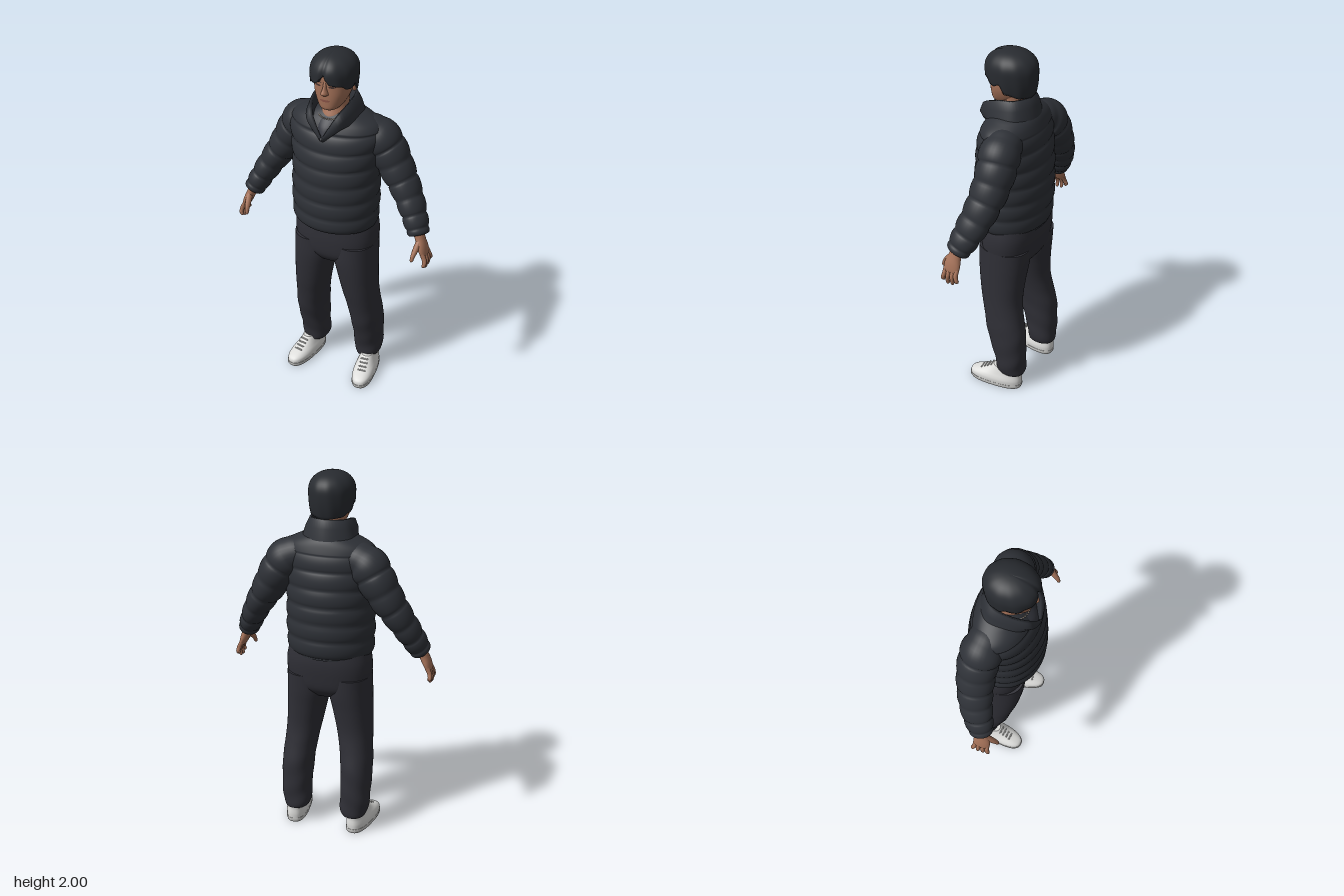
import * as THREE from 'three';

const V = (x, y, z) => new THREE.Vector3(x, y, z);
const mat = (name, color, side = THREE.FrontSide) => {
  const m = new THREE.MeshStandardMaterial({ color, side });
  m.name = name;
  return m;
};

// Catmull-Rom sampling of rows of numbers, t from 0 to 1
function sample(keys, t) {
  const f = Math.min(t, 0.99999) * (keys.length - 1), i = Math.floor(f), u = f - i;
  const k = (n) => keys[Math.max(0, Math.min(keys.length - 1, n))];
  return keys[0].map((_, c) => {
    const [a, b, d, e] = [k(i - 1)[c], k(i)[c], k(i + 1)[c], k(i + 2)[c]];
    return b + 0.5 * u * (d - a + u * (2 * a - 5 * b + 4 * d - e + u * (3 * (b - d) + e - a)));
  });
}

// Skin over rings of points; closed rings may get end caps with sharp rims
function skin(rings, { closed = true, caps = true } = {}) {
  const n = rings[0].length, pts = rings.flat(), idx = [];
  const cols = closed ? n : n - 1;
  for (let i = 0; i < rings.length - 1; i++) {
    for (let j = 0; j < cols; j++) {
      const a = i * n + j, b = i * n + (j + 1) % n;
      idx.push(a, a + n, b, b, a + n, b + n);
    }
  }
  if (closed && caps) {
    [rings[0], rings[rings.length - 1]].forEach((ring, end) => {
      const base = pts.length;
      const mid = ring.reduce((s, p) => s.add(p), V(0, 0, 0)).divideScalar(n);
      pts.push(...ring, mid);
      for (let j = 0; j < n; j++) {
        const a = base + j, b = base + (j + 1) % n;
        end ? idx.push(base + n, b, a) : idx.push(base + n, a, b);
      }
    });
  }
  const g = new THREE.BufferGeometry().setFromPoints(pts);
  g.setIndex(idx);
  g.computeVertexNormals();
  return g;
}

const pow = (v, e) => Math.sign(v) * Math.abs(v) ** e;

// Upright loft; rows are [y, centreX, halfWidth, zFront, zBack]
function upright(keys, steps, { n = 2, seg = 40, puff = () => 0 } = {}) {
  const rings = [];
  for (let i = 0; i <= steps; i++) {
    const [y, cx, rx, zf, zb] = sample(keys, i / steps);
    rings.push(Array.from({ length: seg }, (_, j) => {
      const a = (j / seg) * Math.PI * 2, p = puff(y, a);
      return V(cx + (rx + p) * pow(Math.cos(a), 2 / n), y,
        (zf + zb) / 2 + ((zf - zb) / 2 + p) * pow(Math.sin(a), 2 / n));
    }));
  }
  return skin(rings);
}

// Loft along a path; rows are [x, y, z, radius across, radius towards z]
function limb(keys, steps, seg = 24, puff = () => 0) {
  const at = (t) => V(...sample(keys, Math.max(0, Math.min(1, t))).slice(0, 3));
  const rings = [];
  for (let i = 0; i <= steps; i++) {
    const t = i / steps, [x, y, z, ru, rv] = sample(keys, t);
    const dir = at(t + 0.01).sub(at(t - 0.01)).normalize();
    const v = V(0, 0, 1).addScaledVector(dir, -dir.z).normalize();
    const u = dir.clone().cross(v), p = puff(t);
    rings.push(Array.from({ length: seg }, (_, j) => {
      const a = (j / seg) * Math.PI * 2;
      return V(x, y, z).addScaledVector(u, (ru + p) * Math.cos(a)).addScaledVector(v, (rv + p) * Math.sin(a));
    }));
  }
  return skin(rings);
}

function mirrored(g) {
  const m = g.clone().scale(-1, 1, 1), ix = m.index.array;
  for (let i = 0; i < ix.length; i += 3) [ix[i], ix[i + 1]] = [ix[i + 1], ix[i]];
  m.computeVertexNormals();
  return m;
}

const HEAD = [[1.713, 0, 0.03, 0.105, 0.03], [1.725, 0, 0.05, 0.119, 0], [1.755, 0, 0.071, 0.123, -0.04],
  [1.80, 0, 0.089, 0.125, -0.07], [1.85, 0, 0.096, 0.125, -0.09], [1.90, 0, 0.097, 0.125, -0.09],
  [1.945, 0, 0.08, 0.1, -0.07], [1.965, 0, 0.045, 0.06, -0.03]];

// Thin lens-shaped patch that follows the face
function facePatch(cx, cy, w, h, bend = 0) {
  const point = (x, y) => {
    let i = HEAD.findIndex((k) => k[0] > y);
    const A = HEAD[i - 1], B = HEAD[i], u = (y - A[0]) / (B[0] - A[0]);
    const [, , rx, zf, zb] = A.map((v, c) => v + (B[c] - v) * u);
    return V(x, y, (zf + zb) / 2 + (zf - zb) / 2 * (1 - Math.abs(x / rx) ** 2.3) ** (1 / 2.3) + 0.003);
  };
  const rows = [-1, 0, 1].map((r) => Array.from({ length: 9 }, (_, j) => {
    const t = j / 4 - 1;
    return point(cx + t * w, cy + bend * t * t + r * h * Math.sqrt(1.05 - t * t));
  }));
  return skin(rows, { closed: false });
}

// Hair cap with a centre parting, curtains, sideburns and a low nape
function hairGeometry() {
  const line = [[0, 1.915], [0.12, 1.895], [0.35, 1.868], [0.8, 1.86], [1.05, 1.838], [1.3, 1.835],
    [1.5, 1.85], [1.75, 1.805], [2.4, 1.783], [3.15, 1.775]];
  const low = (th) => {
    const i = Math.max(1, line.findIndex((k) => k[0] > th));
    const [a, b] = [line[i - 1], line[i]];
    return THREE.MathUtils.lerp(a[1], b[1], THREE.MathUtils.smoothstep(th, a[0], b[0]));
  };
  const seg = 96, steps = 24, rings = [];
  for (let k = steps + 2; k >= 0; k--) {
    const s = Math.max(0.02, Math.min(1, k / steps));
    rings.push(Array.from({ length: seg }, (_, j) => {
      const a = (j / seg) * Math.PI * 2;
      const th = Math.abs(Math.atan2(Math.cos(a), Math.sin(a)));
      const part = Math.exp(-((th / 0.13) ** 2));
      const y = 2.0 - (2.0 - low(th)) * (1 - Math.cos(s * Math.PI / 2));
      const d = y > 1.9 ? (y - 1.9) / 0.1 : (1.9 - y) / 0.24;
      let r = (1 - Math.min(1, d) ** 2.2) ** (1 / 2.2);
      r *= 1 - 0.1 * part * s + 0.012 * Math.sin(11 * a + 4 * s) * s;
      if (k > steps) r *= 1 - 0.11 * (k - steps);
      const rz = Math.sin(a) > 0 ? 0.143 : 0.136;
      return V(0.119 * r * Math.cos(a), y - 0.012 * part * s * (1 - s), 0.014 + rz * r * Math.sin(a));
    }));
  }
  return skin(rings);
}

// Stand-up collar, open at the front and falling into a V
function collarGeometry() {
  const around = (half) => {
    const other = half.slice(0, -1).reverse().map(([x, y, z]) => [-x, y, z]);
    const all = [...half, ...other];
    return Array.from({ length: 61 }, (_, i) => V(...sample(all, i / 60)));
  };
  return skin([
    around([[0.004, 1.555, 0.155], [0.085, 1.63, 0.135], [0.142, 1.655, 0.03], [0.125, 1.665, -0.08], [0, 1.67, -0.135]]),
    around([[0.004, 1.57, 0.172], [0.092, 1.67, 0.15], [0.125, 1.71, 0.04], [0.11, 1.725, -0.07], [0, 1.73, -0.122]]),
    around([[0.004, 1.585, 0.17], [0.078, 1.705, 0.142], [0.108, 1.755, 0.05], [0.093, 1.77, -0.055], [0, 1.775, -0.105]]),
    around([[0.003, 1.587, 0.162], [0.066, 1.705, 0.132], [0.094, 1.755, 0.045], [0.08, 1.768, -0.045], [0, 1.772, -0.09]]),
    around([[0.002, 1.575, 0.15], [0.07, 1.64, 0.11], [0.09, 1.68, 0.04], [0.075, 1.69, -0.04], [0, 1.69, -0.08]]),
  ], { closed: false });
}

export function createModel() {
  const model = new THREE.Group();
  model.name = 'standingMan';
  const jacket = mat('jacketCharcoal', 0x2e3137, THREE.DoubleSide), trousers = mat('trouserCharcoal', 0x2f2f36);
  const hair = mat('hairBlack', 0x282b30, THREE.DoubleSide), skinTone = mat('skin', 0xa57259);
  const shirt = mat('shirtGrey', 0x34363e), white = mat('shoeWhite', 0xdcdcda), sole = mat('soleGrey', 0xc4c4c2);
  const lips = mat('lips', 0x8c5548, THREE.DoubleSide), dark = mat('browDark', 0x4a3530, THREE.DoubleSide);
  const bead = mat('beads', 0xc9b8a4);
  const add = (name, g, m, parent = model) => {
    const mesh = new THREE.Mesh(g, m);
    mesh.name = name;
    parent.add(mesh);
    return mesh;
  };
  const pair = (name, g, m) => {
    add(name + 'Left', g, m);
    add(name + 'Right', mirrored(g), m);
  };

  // Quilted jacket
  const quilt = (y, a) => y > 1.6 ? 0 : 0.012 * Math.sqrt(Math.abs(Math.sin(Math.PI * (y - 1.035 + 0.01 * Math.sin(a)) / 0.094))) - 0.01;
  add('jacketBody', upright([[1.035, 0, 0.226, 0.185, -0.18], [1.07, 0, 0.235, 0.197, -0.19], [1.2, 0, 0.24, 0.2, -0.198],
    [1.35, 0, 0.238, 0.193, -0.197], [1.47, 0, 0.245, 0.178, -0.185], [1.57, 0, 0.255, 0.153, -0.168],
    [1.63, 0, 0.235, 0.125, -0.15], [1.67, 0, 0.165, 0.095, -0.13], [1.695, 0, 0.1, 0.07, -0.1]],
    96, { seg: 64, puff: quilt }), jacket);
  add('collar', collarGeometry(), jacket);
  pair('sleeve', limb([[0.10, 1.585, -0.03, 0.07, 0.08], [0.205, 1.55, -0.05, 0.102, 0.103], [0.265, 1.475, -0.06, 0.098, 0.102],
    [0.325, 1.375, -0.055, 0.086, 0.096], [0.385, 1.28, -0.038, 0.073, 0.088], [0.437, 1.19, -0.01, 0.064, 0.08],
    [0.475, 1.115, 0.018, 0.057, 0.068], [0.492, 1.078, 0.032, 0.05, 0.056]],
    84, 32, (t) => 0.01 * Math.sqrt(Math.abs(Math.sin(t * Math.PI * 8))) - 0.006), jacket);
  add('shirt', upright([[1.575, 0, 0.05, 0.157, -0.04], [1.62, 0, 0.078, 0.14, -0.05], [1.655, 0, 0.082, 0.113, -0.06],
    [1.67, 0, 0.078, 0.095, -0.06]], 12), shirt);

  // Trousers
  add('trouserHips', upright([[0.8, 0, 0.13, 0.1, -0.11], [0.85, 0, 0.215, 0.128, -0.15], [0.93, 0, 0.232, 0.136, -0.165],
    [1.0, 0, 0.232, 0.134, -0.17], [1.06, 0, 0.22, 0.13, -0.165]], 20, { n: 2.4 }), trousers);
  pair('trouserLeg', upright([[0.1, 0.168, 0.066, -0.01, -0.16], [0.13, 0.168, 0.077, -0.003, -0.166],
    [0.22, 0.172, 0.081, 0.013, -0.168], [0.38, 0.17, 0.085, 0.06, -0.164], [0.5, 0.158, 0.089, 0.083, -0.14],
    [0.6, 0.145, 0.096, 0.104, -0.128], [0.72, 0.13, 0.107, 0.122, -0.136], [0.82, 0.118, 0.116, 0.131, -0.148],
    [0.92, 0.118, 0.113, 0.13, -0.155]], 48,
    { n: 2.2, puff: (y, a) => 0.003 * Math.sin(46 * y + 2 * a) * Math.max(0, 1 - y / 0.55) }), trousers);

  // Shoes: sole, upper and laces, toes turned out
  const place = (g) => g.rotateY(0.15).translate(0.193, 0, 0);
  pair('sole', place(upright([[0, 0, 0.058, 0.156, -0.15], [0.012, 0, 0.062, 0.162, -0.154],
    [0.024, 0, 0.061, 0.162, -0.153]], 6, { n: 2.6 })), sole);
  pair('shoe', place(upright([[0.022, 0, 0.06, 0.16, -0.152], [0.045, 0, 0.061, 0.156, -0.153], [0.062, 0, 0.057, 0.13, -0.152],
    [0.08, 0, 0.05, 0.083, -0.15], [0.1, 0, 0.044, 0.045, -0.15], [0.125, 0, 0.038, 0.015, -0.145]],
    18, { n: 2.5 })), white);
  for (let i = 0; i < 4; i++) {
    const lace = new THREE.CapsuleGeometry(0.004, 0.04, 3, 8).rotateZ(Math.PI / 2);
    pair('lace' + i, place(lace.translate(0, 0.078 + i * 0.012, 0.088 - i * 0.02)), sole);
  }

  // Hands
  pair('palm', limb([[0.488, 1.095, 0.03, 0.028, 0.034], [0.503, 1.06, 0.036, 0.025, 0.035], [0.52, 1.02, 0.042, 0.023, 0.045],
    [0.534, 0.985, 0.042, 0.017, 0.044], [0.538, 0.972, 0.042, 0.009, 0.036]], 14, 20), skinTone);
  [[0.076, 0.083, 0.918], [0.053, 0.056, 0.905], [0.03, 0.028, 0.908], [0.009, 0, 0.928]].forEach(([z0, z1, tip], i) =>
    pair('finger' + i, limb([[0.53, 0.995, z0, 0.012, 0.0115], [0.545, 0.965, z0, 0.0125, 0.012],
      [0.55, 0.94, z1, 0.011, 0.0105], [0.545, tip + 0.008, z1, 0.01, 0.009], [0.543, tip, z1, 0.004, 0.004]], 14, 12), skinTone));
  pair('thumb', limb([[0.505, 1.055, 0.055, 0.016, 0.018], [0.5, 1.02, 0.085, 0.016, 0.017], [0.495, 0.99, 0.108, 0.012, 0.013],
    [0.492, 0.967, 0.118, 0.009, 0.009], [0.491, 0.96, 0.12, 0.003, 0.003]], 14, 12), skinTone);

  // Neck, head and face
  add('neck', upright([[1.63, 0, 0.08, 0.1, -0.06], [1.67, 0, 0.074, 0.094, -0.06], [1.72, 0, 0.068, 0.075, -0.065],
    [1.8, 0, 0.07, 0.07, -0.075]], 12), skinTone);
  add('head', upright(HEAD, 40, { n: 2.3 }), skinTone);
  add('nose', upright([[1.80, 0, 0.012, 0.132, 0.1], [1.808, 0, 0.02, 0.146, 0.1], [1.818, 0, 0.018, 0.153, 0.1],
    [1.84, 0, 0.011, 0.141, 0.1], [1.872, 0, 0.009, 0.127, 0.1]], 16, { seg: 20 }), skinTone);
  add('mouth', facePatch(0, 1.772, 0.028, 0.006, 0.002), lips);
  pair('eye', facePatch(0.038, 1.85, 0.017, 0.005), dark);
  pair('brow', facePatch(0.04, 1.871, 0.024, 0.004, -0.004), dark);
  pair('ear', new THREE.SphereGeometry(1, 16, 12).scale(0.013, 0.032, 0.02).rotateX(-0.15).translate(0.098, 1.825, -0.008), skinTone);
  add('hair', hairGeometry(), hair);

  // Bead necklace
  const necklace = new THREE.Group();
  necklace.name = 'necklace';
  model.add(necklace);
  const beadShape = new THREE.SphereGeometry(0.0045, 8, 6);
  for (let i = 0; i < 40; i++) {
    const a = (i / 40) * Math.PI * 2;
    add('bead', beadShape, bead, necklace).position.set(0.081 * Math.cos(a), 1.68 - 0.014 * Math.sin(a), 0.022 + 0.086 * Math.sin(a));
  }
  return model;
}
